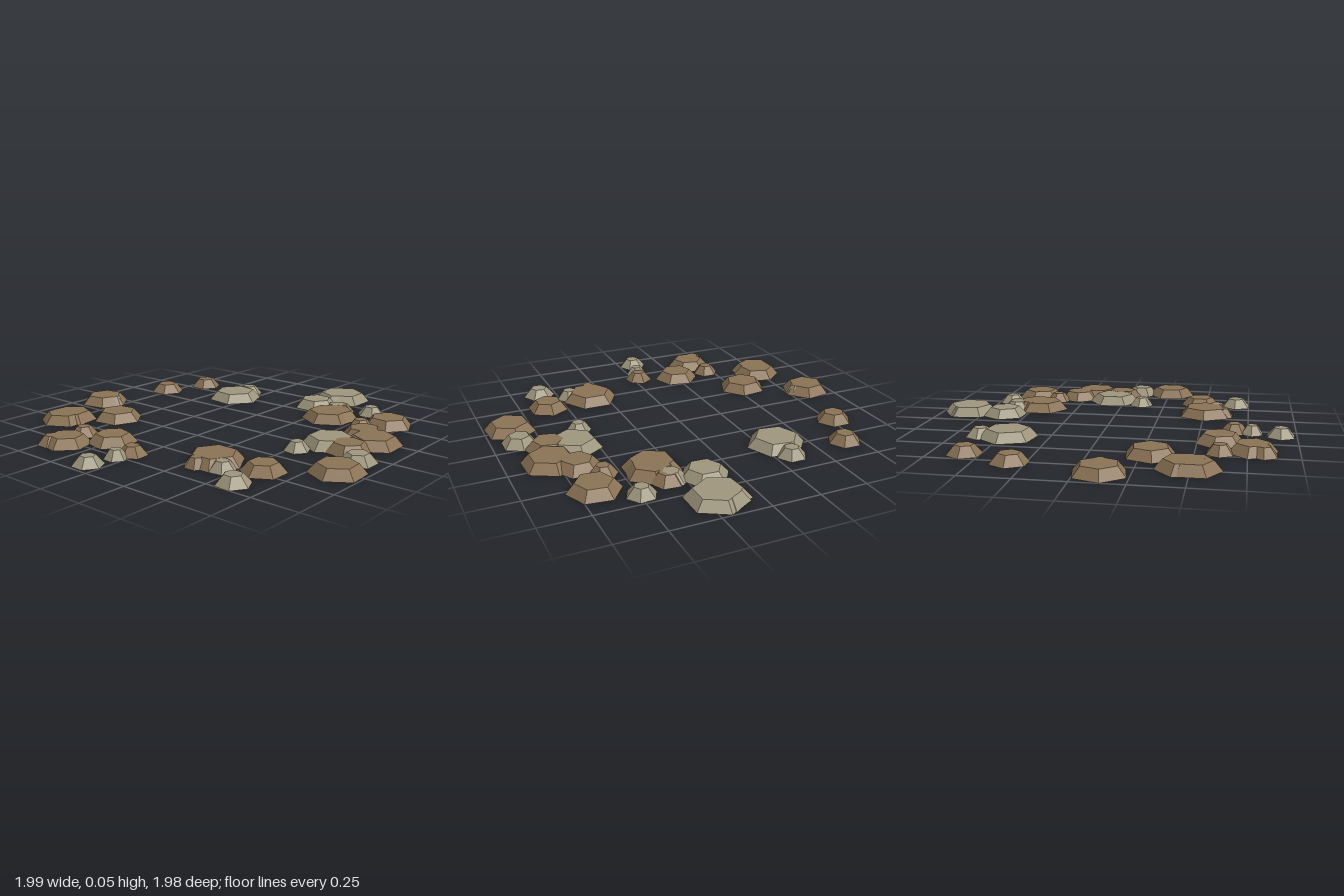
import * as THREE from 'three';

const HEIGHT = 0.05;
const BEVEL = 0.043; // how far the flat top sits in from the base edge

// x, z, base radius, turn of a corner from +x towards +z in degrees
const BROWN_STONES = [
  // back left of the ring
  [-0.67, -0.575, 0.09, 2], [-0.77, -0.325, 0.098, 0],
  // back right cluster
  [0.33, -0.595, 0.088, 5], [0.365, -0.48, 0.14, -20], [0.35, -0.45, 0.15, 30],
  [0.67, -0.54, 0.135, 7], [0.58, -0.405, 0.075, 8], [0.67, -0.29, 0.12, -2],
  [0.78, -0.20, 0.148, 28], [0.74, -0.03, 0.12, 12], [0.865, 0.265, 0.14, 26],
  // front right cluster
  [0.34, 0.505, 0.153, 0], [0.32, 0.61, 0.06, 0], [0.6, 0.465, 0.113, 30],
  // front cluster
  [-0.03, 0.68, 0.078, 25], [-0.25, 0.61, 0.128, 11], [-0.455, 0.62, 0.075, 2],
  [-0.405, 0.775, 0.128, 12], [-0.46, 0.825, 0.075, 0],
  // left side
  [-0.735, 0.47, 0.138, 20], [-0.74, 0.51, 0.138, 30],
  [-0.545, 0.30, 0.136, -8], [-0.865, 0.11, 0.138, -10],
];

const GREY_STONES = [
  [0.31, -0.59, 0.085, 5],
  [-0.33, -0.46, 0.155, 8], [-0.335, -0.605, 0.08, 0],
  [0.197, -0.84, 0.155, 30], [0.182, -0.83, 0.153, 25], [0.15, -0.62, 0.125, 3],
  [0.49, -0.67, 0.078, -5], [0.615, -0.06, 0.15, 28], [0.86, 0.08, 0.097, 30],
  [0.535, 0.115, 0.07, 8], [0.445, 0.57, 0.072, -5], [0.595, 0.675, 0.088, 3],
  [-0.05, 0.77, 0.062, 3], [-0.08, 0.917, 0.08, 2], [-0.79, 0.10, 0.055, 10],
];

// Six-sided stone with a flat top, sloped sides and an open underside
function makeStone([x, z, radius, turn], height, material) {
  const profile = [
    new THREE.Vector2(radius, 0),
    new THREE.Vector2(Math.max(radius - BEVEL, radius * 0.47), height),
    new THREE.Vector2(0, height),
  ];
  const stone = new THREE.Mesh(new THREE.LatheGeometry(profile, 6), material);
  stone.position.set(x, 0, z);
  stone.rotation.y = THREE.MathUtils.degToRad(30 - turn);
  return stone;
}

export function createModel() {
  const group = new THREE.Group();
  group.name = 'stoneRing';

  const look = { flatShading: true, side: THREE.DoubleSide };
  const brown = new THREE.MeshStandardMaterial({ color: 0x8b7355, ...look });
  brown.name = 'brown stone';
  const grey = new THREE.MeshStandardMaterial({ color: 0x9e967d, ...look });
  grey.name = 'pale grey stone';

  // Tiny height steps keep overlapping flat tops apart
  let step = 0;
  const addStones = (list, material, name) => {
    list.forEach((data, i) => {
      const stone = makeStone(data, HEIGHT - 0.00003 * step++, material);
      stone.name = `${name}${i + 1}`;
      group.add(stone);
    });
  };
  addStones(GREY_STONES.slice(0, 1), grey, 'innerGreyStone');
  addStones(BROWN_STONES, brown, 'brownStone');
  addStones(GREY_STONES.slice(1), grey, 'greyStone');

  return group;
}
